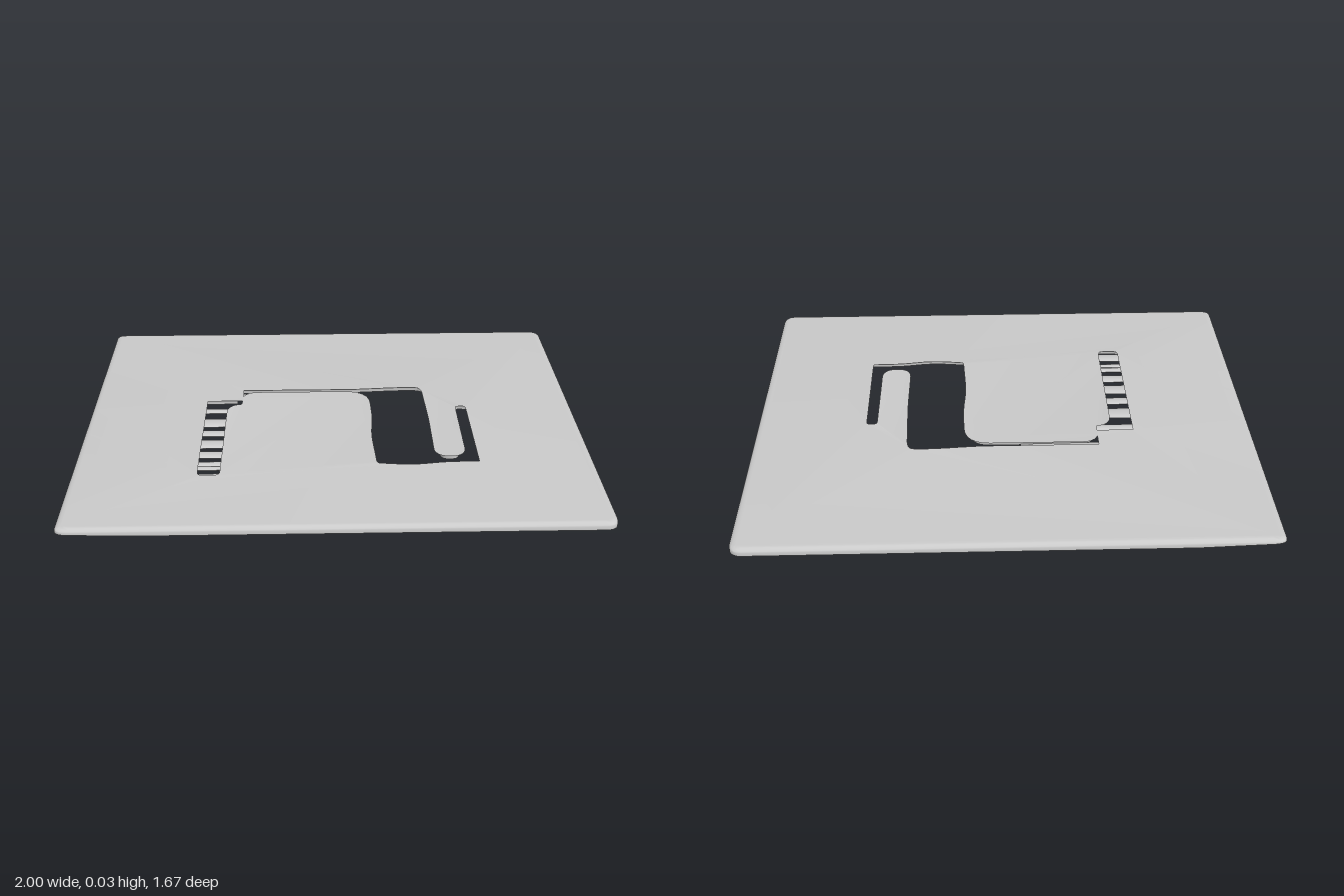
import * as THREE from 'three';
import { toCreasedNormals } from 'three/addons/utils/BufferGeometryUtils.js';

const material = new THREE.MeshStandardMaterial({ color: 0xcccccc, side: THREE.DoubleSide });
const D = 0.835, CORNER = 0.05, BASE = 0.003, STRIP = -0.68;

// Height of the underside: flat, rising to a rippled thin edge on the -x side
function lower(x, z) {
  const s = Math.max(0, (STRIP - x) / (1 + STRIP));
  return BASE + s * (0.008 + 0.0035 * Math.sin(50 * z) + 0.002 * Math.sin(83 * z + 1));
}

// Closed outline from [x, z, cornerRadius] points
function rounded(corners) {
  const out = [];
  corners.forEach(([x, z, r], i) => {
    const p = new THREE.Vector2(x, z);
    if (!r) { out.push(p); return; }
    const toward = (q) => {
      const v = new THREE.Vector2(q[0], q[1]).sub(p);
      return p.clone().add(v.setLength(Math.min(r, v.length() * 0.48)));
    };
    const a = toward(corners[(i + corners.length - 1) % corners.length]);
    const b = toward(corners[(i + 1) % corners.length]);
    out.push(...new THREE.QuadraticBezierCurve(a, p, b).getPoints(6));
  });
  return out;
}

// One winding cut-out: upper arm, right opening, finger slot and left slot
const cutOut = rounded([
  [-0.4, -0.255, 0.012], [0.1, -0.255, 0.05], [0.3, -0.27, 0.08], [0.41, -0.265, 0.07],
  [0.418, 0.05, 0.05], [0.415, 0.325, 0.036], [0.49, 0.325, 0.036],
  [0.492, -0.09, 0.04], [0.582, -0.09, 0.04], [0.582, 0.412, 0.03], [0.43, 0.414, 0.05],
  [0.3, 0.435, 0.08], [0.14, 0.415, 0.035], [0.128, 0.17, 0.06], [0.14, 0.02, 0.06],
  [0.135, -0.19, 0.08], [-0.355, -0.19, 0.04], [-0.355, -0.085, 0.02], [-0.415, -0.075, 0.04],
  [-0.415, 0.495, 0.05], [-0.548, 0.495, 0.05], [-0.548, -0.158, 0.025], [-0.4, -0.158, 0],
]);

function shapeOf(points, flip) {
  const f = (p) => new THREE.Vector2(p.x, p.y * flip);
  const shape = new THREE.Shape(points.map(f));
  shape.holes.push(new THREE.Path(cutOut.map(f)));
  return shape;
}

// Top and side walls with a soft upper edge, open below
function plateTop() {
  const edge = [];
  for (let i = 0; i <= 120; i++) edge.push([-1, (D - CORNER) * (1 - i / 60), 0]);
  const outline = rounded([
    [STRIP, -D, 0], [1, -D, CORNER], [1, D, CORNER], [STRIP, D, 0], [-1, D, CORNER],
    ...edge.slice(1, -1), [-1, -D, CORNER],
  ]);
  const geo = new THREE.ExtrudeGeometry(shapeOf(outline, -1), {
    depth: 0.017, bevelThickness: 0.013, bevelSize: 0.024, bevelOffset: -0.024, bevelSegments: 4,
  });
  geo.rotateX(-Math.PI / 2);
  const p = geo.attributes.position;
  const kept = [];
  for (let i = 0; i < p.count; i += 3) {
    const ids = [i, i + 1, i + 2];
    if (ids.every((j) => p.getY(j) < 1e-5)) continue;
    for (const j of ids) {
      const x = p.getX(j), z = p.getZ(j);
      kept.push(x, p.getY(j) < 1e-5 ? lower(x, z) : p.getY(j), z);
    }
  }
  const shell = new THREE.BufferGeometry();
  shell.setAttribute('position', new THREE.Float32BufferAttribute(kept, 3));
  return toCreasedNormals(shell, 0.6);
}

// Flat underside with the same cut-out
function plateBottom() {
  const outline = rounded([[STRIP, -D, 0], [1, -D, CORNER], [1, D, CORNER], [STRIP, D, 0]]);
  return new THREE.ShapeGeometry(shapeOf(outline, 1)).rotateX(Math.PI / 2).translate(0, BASE, 0);
}

// Rippled underside strip that thins toward the -x edge
function rippledStrip() {
  const w = 1 + STRIP;
  const geo = new THREE.PlaneGeometry(w, 2, 24, 120).rotateX(Math.PI / 2);
  const p = geo.attributes.position;
  for (let i = 0; i < p.count; i++) {
    const x = p.getX(i) - 1 + w / 2;
    const c = Math.max(0, CORNER - (x + 1));
    const half = D - CORNER + Math.sqrt(Math.max(0, CORNER * CORNER - c * c));
    const z = p.getZ(i) * half;
    p.setXYZ(i, x, lower(x, z), z);
  }
  geo.computeVertexNormals();
  return geo;
}

// Flattened bar along x, with its own width at each end
function rib(x0, x1, z, w0, w1) {
  const geo = new THREE.CylinderGeometry(w1 / 2, w0 / 2, x1 - x0, 10).rotateZ(-Math.PI / 2);
  const p = geo.attributes.position;
  for (let i = 0; i < p.count; i++) {
    const w = p.getX(i) > 0 ? w1 : w0;
    p.setY(i, (p.getY(i) / w) * 0.014);
  }
  geo.translate((x0 + x1) / 2, 0.007, z);
  return toCreasedNormals(geo, 0.8);
}

export function createModel() {
  const group = new THREE.Group();
  const add = (name, geo, parent = group) => {
    const mesh = new THREE.Mesh(geo, material);
    mesh.name = name;
    parent.add(mesh);
  };
  add('plateTop', plateTop());
  add('plateBottom', plateBottom());
  add('rippledStrip', rippledStrip());

  // Ribs under the tongue, crossing the left slot: [z, width at -x end, width at +x end]
  const ribs = new THREE.Group();
  ribs.name = 'ribs';
  group.add(ribs);
  [
    [-0.085, 0.04, 0.025], [0.018, 0.075, 0.05], [0.107, 0.045, 0.065], [0.195, 0.07, 0.05],
    [0.28, 0.05, 0.065], [0.352, 0.03, 0.045], [0.385, 0.025, 0.02], [0.453, 0.06, 0.05],
  ].forEach(([z, w0, w1]) => add('rib', rib(-0.56, -0.11, z, w0, w1), ribs));
  add('upperRib', rib(-0.41, -0.065, -0.213, 0.055, 0.04), ribs);
  return group;
}
